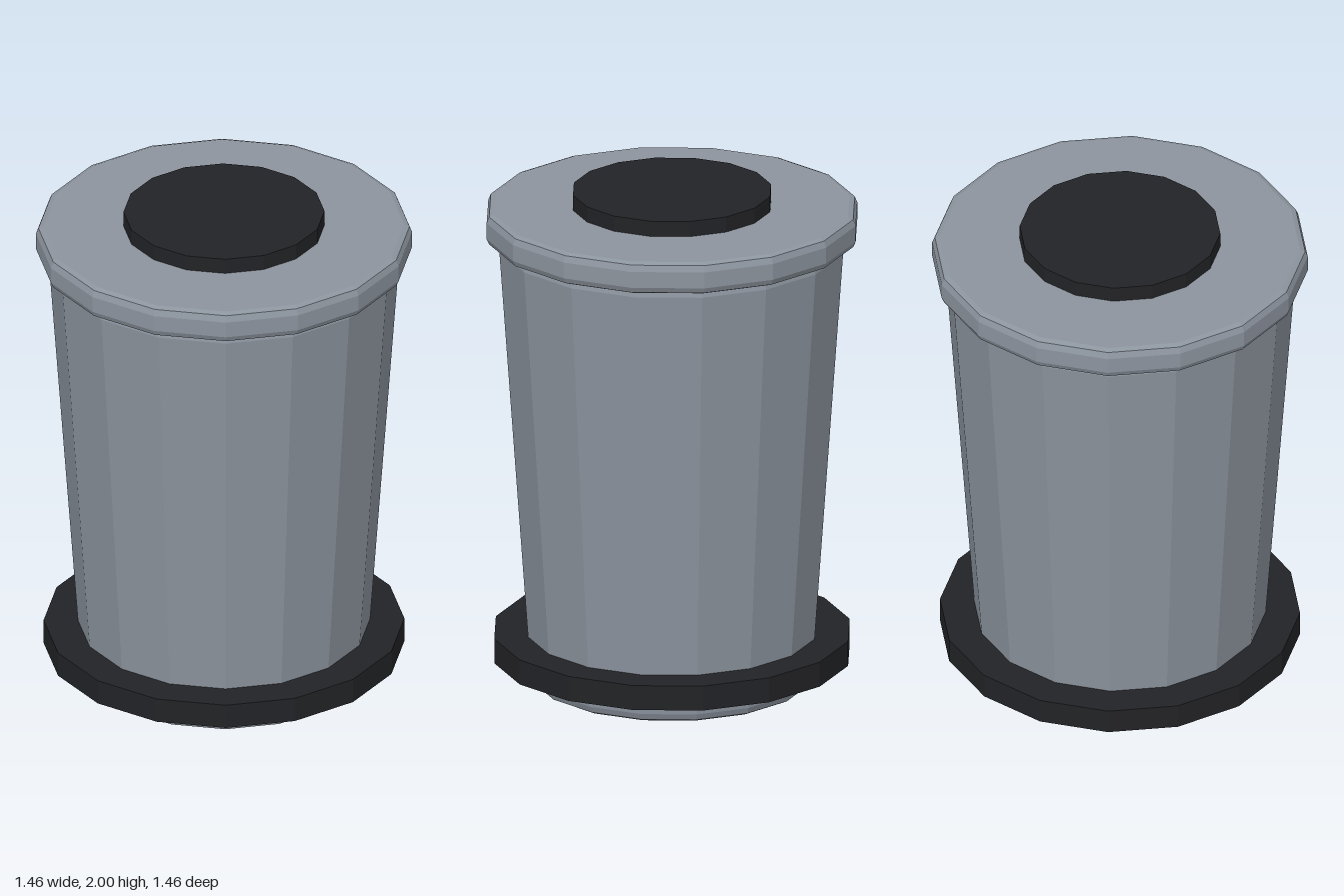
import * as THREE from 'three';

const SIDES = 16;

export function createModel() {
  const model = new THREE.Group();
  model.name = 'bin';

  const metal = new THREE.MeshStandardMaterial({ color: 0x8c949e, flatShading: true });
  const rubber = new THREE.MeshStandardMaterial({ color: 0x222326, flatShading: true });

  // Closed faceted solid turned from [radius, height] points, bottom to top
  function turned(name, profile, material) {
    const points = profile.map(([r, y]) => new THREE.Vector2(r, y));
    const mesh = new THREE.Mesh(new THREE.LatheGeometry(points, SIDES), material);
    mesh.name = name;
    model.add(mesh);
  }

  function disc(name, radius, bottom, top) {
    const geometry = new THREE.CylinderGeometry(radius, radius, top - bottom, SIDES);
    const mesh = new THREE.Mesh(geometry, rubber);
    mesh.name = name;
    mesh.position.y = (bottom + top) / 2;
    model.add(mesh);
  }

  // Tapered body with softened rims
  turned('body', [
    [0, 0], [0.525, 0], [0.545, 0.01], [0.555, 0.035],
    [0.68, 1.785], [0.675, 1.805], [0.655, 1.82], [0, 1.82],
  ], metal);

  // Overhanging lid with bevelled edges
  turned('lid', [
    [0, 1.81], [0.70, 1.81], [0.72, 1.818], [0.73, 1.84],
    [0.73, 1.905], [0.72, 1.93], [0.70, 1.938], [0, 1.938],
  ], metal);

  // Dark base ring and lid cap
  disc('baseRing', 0.70, 0.10, 0.20);
  disc('lidCap', 0.39, 1.90, 2.0);

  return model;
}
